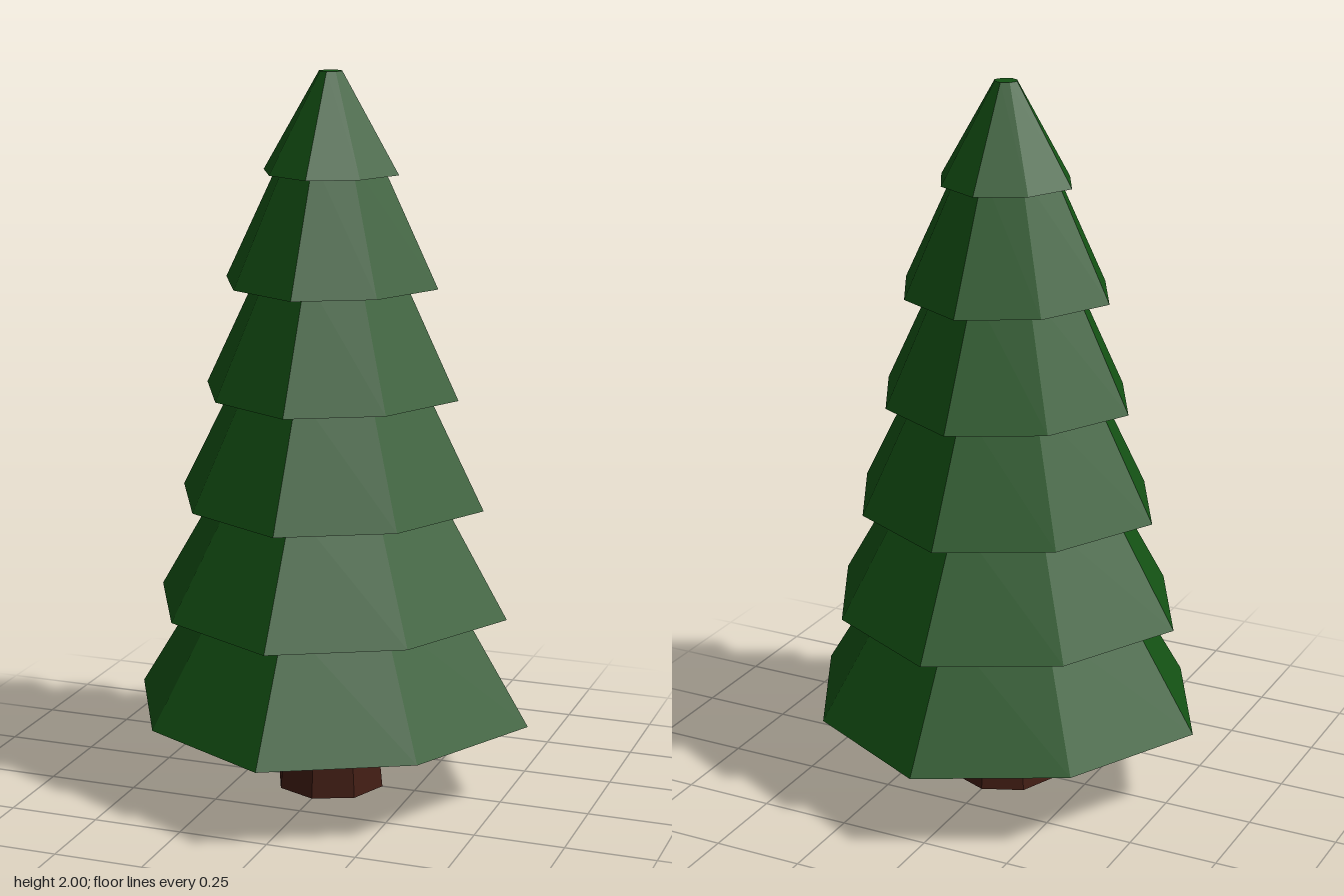
import * as THREE from 'three';

const SIDES = 8;

// Eight-sided turned shape; diagonal corners are pulled in by the given ratio
function turned(profile, diagonal, material, name) {
  const points = profile.map(([r, y]) => new THREE.Vector2(r, y));
  const geometry = new THREE.LatheGeometry(points, SIDES);
  const pos = geometry.attributes.position;
  for (let i = 0; i < pos.count; i++) {
    const side = Math.floor(i / points.length);
    if (side % 2 === 1) {
      pos.setX(i, pos.getX(i) * diagonal);
      pos.setZ(i, pos.getZ(i) * diagonal);
    }
  }
  geometry.computeVertexNormals();
  const mesh = new THREE.Mesh(geometry, material);
  mesh.name = name;
  return mesh;
}

export function createModel() {
  const tree = new THREE.Group();
  tree.name = 'pineTree';
  const green = new THREE.MeshStandardMaterial({ color: 0x145214, flatShading: true });
  const brown = new THREE.MeshStandardMaterial({ color: 0x421d14, flatShading: true });

  // Trunk, waisted and flaring into the foliage
  tree.add(turned([[0, 0], [0.155, 0], [0.138, 0.165], [0.15, 0.29]], 1, brown, 'trunk'));

  // Foliage tiers: rim radius and the radius where the next tier begins
  const tiers = [
    [0.575, 0.36], [0.51, 0.305], [0.44, 0.26],
    [0.365, 0.195], [0.305, 0.135], [0.193, 0.033],
  ];
  const recess = 0.05;
  const foliage = new THREE.Group();
  foliage.name = 'foliage';
  tiers.forEach(([rim, top], i) => {
    const y = 0.23 + i * 0.3;
    const last = i === tiers.length - 1;
    // Underside rises slightly from the rim to a hidden ceiling
    const inner = i === 0 ? 0.44 : tiers[i - 1][1];
    const profile = [[0, y + recess], [inner, y + recess], [rim, y]];
    if (last) profile.push([top, 2], [0, 2]);
    else profile.push([top, y + 0.3 + recess]);
    foliage.add(turned(profile, 0.935, green, `foliageTier${i + 1}`));
  });
  tree.add(foliage);
  return tree;
}
